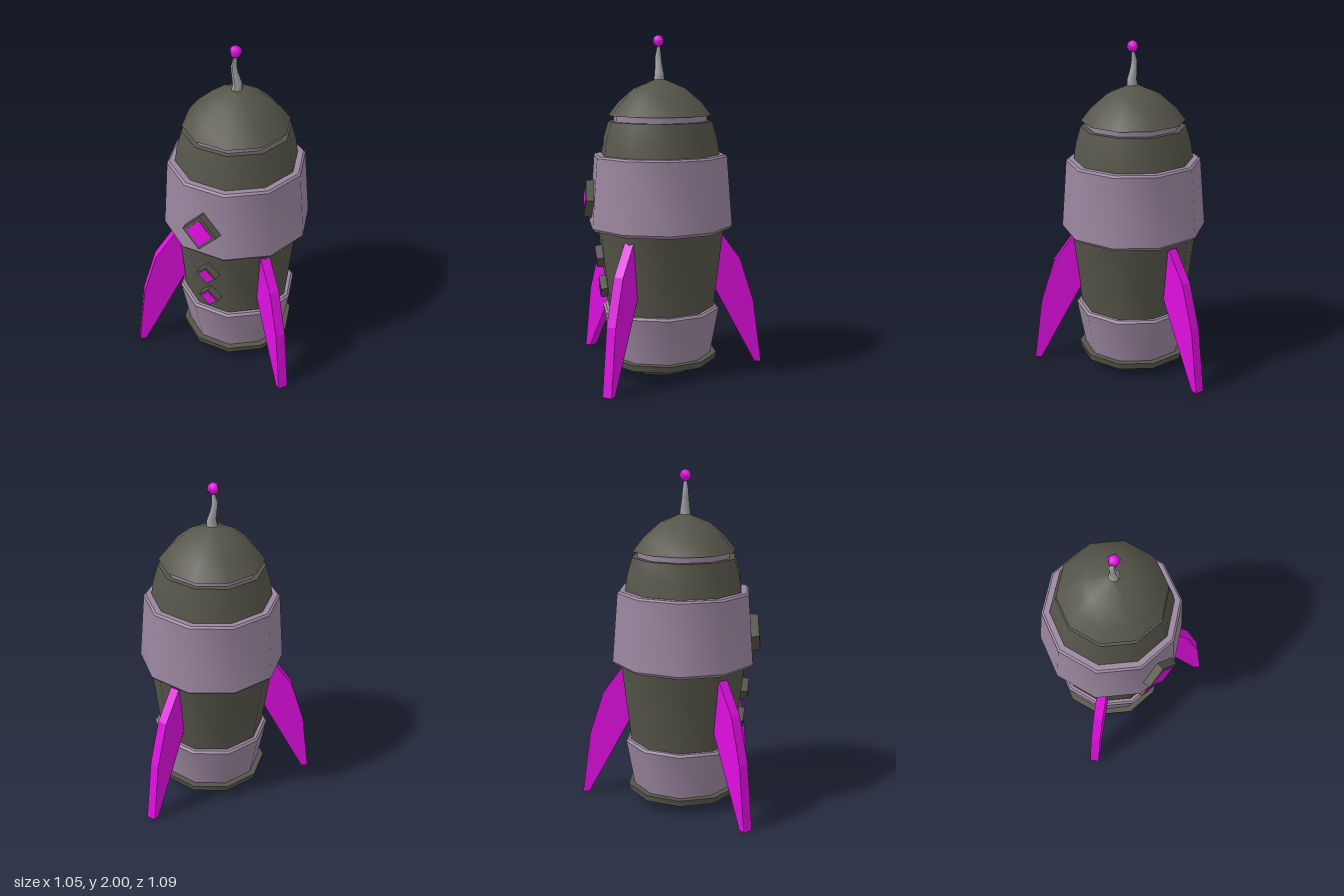
import * as THREE from 'three';
import { toCreasedNormals } from 'three/addons/utils/BufferGeometryUtils.js';

const AXIS_X = -0.01, AXIS_Z = 0.087;

function material(name, color) {
  const m = new THREE.MeshStandardMaterial({ color });
  m.name = name;
  return m;
}

export function createModel() {
  const rocket = new THREE.Group();
  rocket.name = 'rocket';
  const olive = material('darkOlive', 0x55554a);
  const mauve = material('mauve', 0x9a869e);
  const magenta = material('magenta', 0xdf0fdf);
  const grey = material('grey', 0xa0a0a0);

  const add = (name, geometry, mat, parent = rocket) => {
    const mesh = new THREE.Mesh(geometry, mat);
    mesh.name = name;
    parent.add(mesh);
    return mesh;
  };

  // Everything round is turned with ten sides, flats facing front and back
  const hull = new THREE.Group();
  hull.name = 'hull';
  hull.position.set(AXIS_X, 0, AXIS_Z);
  rocket.add(hull);
  const turned = (name, profile, mat) => {
    const points = profile.map(([r, y]) => new THREE.Vector2(r, y));
    const g = new THREE.LatheGeometry(points, 10, Math.PI / 2);
    return add(name, toCreasedNormals(g, 0.7), mat, hull);
  };

  turned('exhaust', [[0, 0.03], [0.195, 0]], mauve);
  turned('baseRim', [[0.195, 0], [0.3, 0.06], [0.338, 0.062], [0.345, 0.1], [0.3, 0.1]], olive);
  turned('lowerBand', [[0.308, 0.1], [0.358, 0.375], [0.345, 0.388], [0.32, 0.388]], mauve);
  turned('body', [[0.325, 0.38], [0.384, 0.87]], olive);
  turned('upperBand', [[0.37, 0.865], [0.42, 0.867], [0.435, 0.885], [0.402, 1.295], [0.39, 1.306], [0.34, 1.306]], mauve);
  turned('shoulder', [[0.357, 1.3], [0.342, 1.4], [0.312, 1.5], [0.27, 1.5]], olive);
  turned('neckRing', [[0.28, 1.495], [0.28, 1.54]], mauve);
  turned('noseDome', [[0.27, 1.535], [0.309, 1.535], [0.25, 1.61], [0.155, 1.692], [0.03, 1.744], [0, 1.746]], olive);

  // Bent, tapering antenna: rows of [x shift, z shift, y, radius] from the top
  const rows = [
    [-0.002, 0.004, 1.945, 0.008],
    [-0.012, 0.006, 1.88, 0.018],
    [-0.007, 0.005, 1.84, 0.02],
    [0.008, 0.003, 1.775, 0.028],
    [0.003, 0.003, 1.738, 0.032],
  ];
  const antenna = new THREE.CylinderGeometry(1, 1, 4, 8, 4, true);
  const p = antenna.attributes.position;
  for (let i = 0; i < p.count; i++) {
    const [dx, dz, y, r] = rows[Math.round(2 - p.getY(i))];
    p.setXYZ(i, p.getX(i) * r + dx, y, p.getZ(i) * r + dz);
  }
  antenna.computeVertexNormals();
  add('antenna', antenna, grey, hull);
  add('antennaBall', new THREE.SphereGeometry(0.035, 5, 8), magenta, hull).position.set(-0.002, 1.966, 0.005);

  // Fins: one profile (distance from the axis, height), extruded
  const finShape = new THREE.Shape(
    [[0.59, 0], [0.63, 0], [0.577, 0.39], [0.492, 0.655], [0.367, 0.83], [0.34, 0.82], [0.318, 0.51]]
      .map(([r, y]) => new THREE.Vector2(r, y))
  );
  const finGeometry = new THREE.ExtrudeGeometry(finShape, { depth: 0.058, bevelEnabled: false });
  finGeometry.translate(0, 0, -0.029);
  const fins = [
    ['backFin', 90, AXIS_Z],
    ['leftFin', -36, AXIS_Z + 0.003],
    ['rightFin', -143, AXIS_Z + 0.024],
  ];
  for (const [name, degrees, z] of fins) {
    const fin = add(name, finGeometry, magenta);
    fin.rotation.y = THREE.MathUtils.degToRad(degrees);
    fin.position.set(AXIS_X, 0, z);
  }

  // Diamond portholes: a four-sided frame with a thin pane, leaning with the hull
  const porthole = (name, y, z, radius, pane, depth, tilt) => {
    const group = new THREE.Group();
    group.name = name;
    group.position.set(AXIS_X, y, z);
    group.rotation.x = tilt;
    const frame = new THREE.CylinderGeometry(radius * 0.94, radius, depth, 4);
    frame.rotateX(Math.PI / 2).translate(0, 0, -depth / 2);
    add('frame', toCreasedNormals(frame, 0.7), olive, group);
    const glass = new THREE.CylinderGeometry(pane, pane, 0.006, 4);
    glass.rotateX(Math.PI / 2);
    add('pane', toCreasedNormals(glass, 0.7), magenta, group);
    rocket.add(group);
  };
  porthole('largePorthole', 1.05, 0.535, 0.115, 0.083, 0.065, -0.09);
  porthole('upperPorthole', 0.695, 0.474, 0.07, 0.052, 0.06, 0.1);
  porthole('lowerPorthole', 0.51, 0.452, 0.07, 0.052, 0.06, 0.1);

  return rocket;
}
